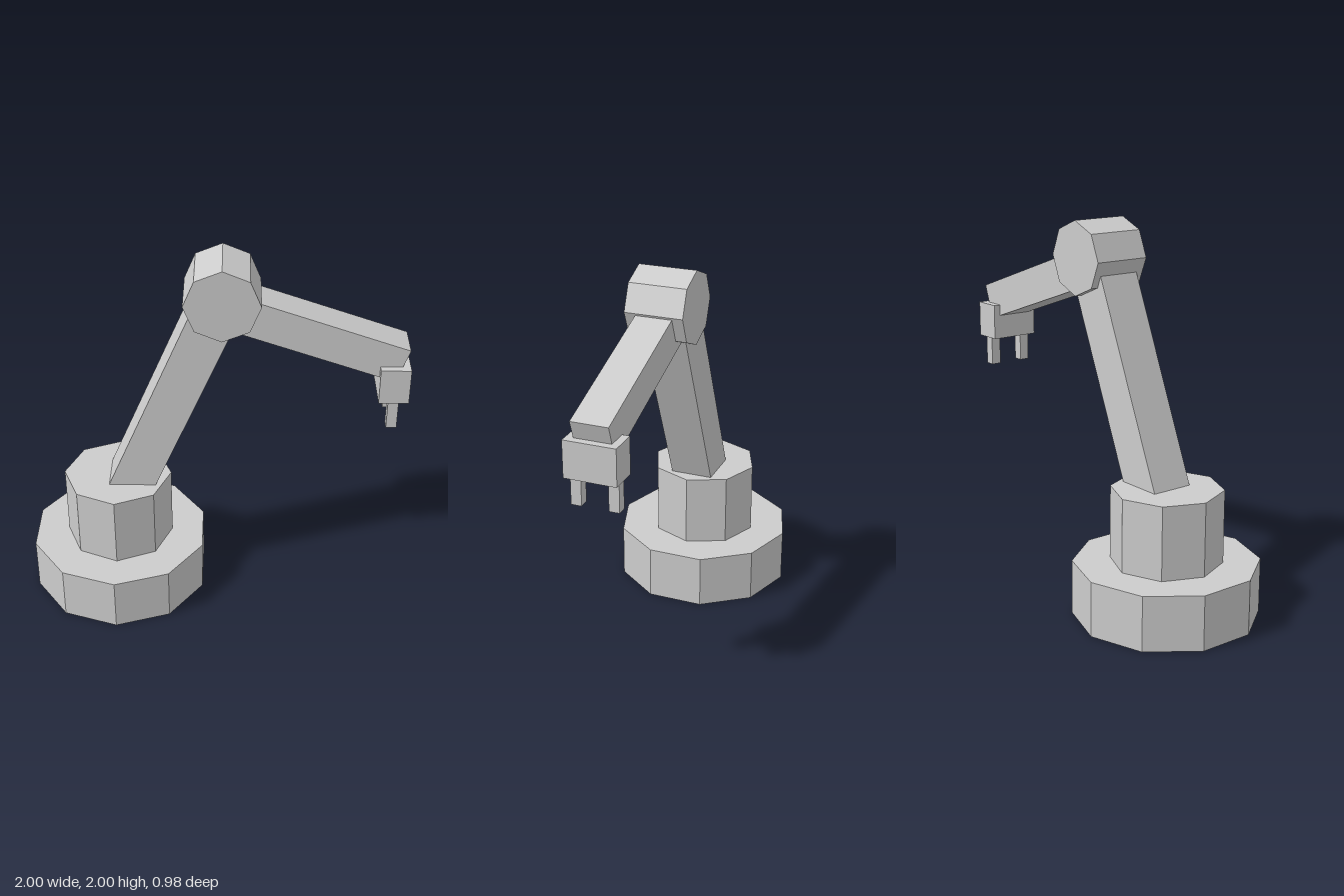
import * as THREE from 'three';

export function createModel() {
  const group = new THREE.Group();
  const grey = new THREE.MeshStandardMaterial({ color: 0xcccccc, flatShading: true });
  grey.name = 'light grey';

  const add = (name, geometry, x, y, z = 0) => {
    const mesh = new THREE.Mesh(geometry, grey);
    mesh.name = name;
    mesh.position.set(x, y, z);
    group.add(mesh);
    return mesh;
  };

  // Square beam between two points in the xy plane
  const beam = (name, x1, y1, x2, y2, size) => {
    const length = Math.hypot(x2 - x1, y2 - y1);
    const mesh = add(name, new THREE.BoxGeometry(length, size, size), (x1 + x2) / 2, (y1 + y2) / 2);
    mesh.rotation.z = Math.atan2(y2 - y1, x2 - x1);
  };

  // Ten-sided foot and eight-sided turret
  add('base', new THREE.CylinderGeometry(0.489, 0.489, 0.293, 10), -0.535, 0.1465);
  add('turret', new THREE.CylinderGeometry(0.293, 0.293, 0.392, 8), -0.535, 0.489);

  // Arm segments and elbow joint
  beam('upperArm', -0.53, 0.49, 0.03, 1.807, 0.233);
  const elbow = add('elbow', new THREE.CylinderGeometry(0.196, 0.196, 0.313, 8), 0.035, 1.804);
  elbow.rotation.x = Math.PI / 2;
  beam('forearm', 0.05, 1.75, 0.958, 1.438, 0.196);

  // Gripper: wrist block with two fingers
  add('wrist', new THREE.BoxGeometry(0.156, 0.195, 0.274), 0.92, 1.338);
  for (const side of [-1, 1]) {
    add(side > 0 ? 'frontFinger' : 'backFinger', new THREE.BoxGeometry(0.055, 0.17, 0.055), 0.92, 1.166, side * 0.098);
  }
  return group;
}
